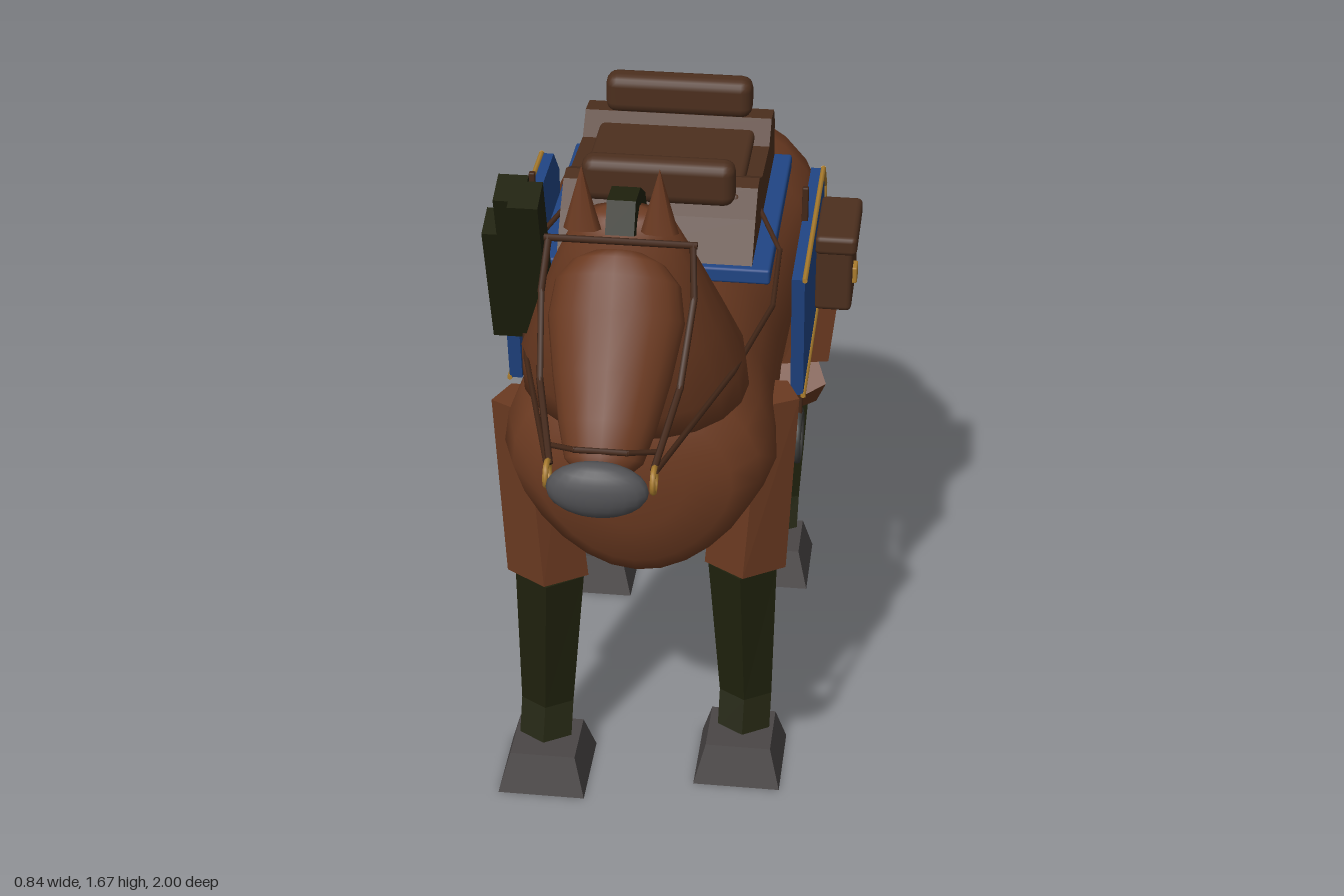
import * as THREE from 'three';
import { RoundedBoxGeometry } from 'three/addons/geometries/RoundedBoxGeometry.js';

const mat = (name, color) => new THREE.MeshStandardMaterial({ name, color });

// Skin over oval rings [x, y, z, halfWidth, halfDepth, tilt]; depth runs along (0, sin tilt, cos tilt)
function loft(rings, sides, flat = false) {
  const pos = [], idx = [];
  for (const [x, y, z, a, b, t] of rings) {
    for (let j = 0; j < sides; j++) {
      const q = Math.PI / 2 + (j / sides) * Math.PI * 2, d = b * Math.sin(q);
      pos.push(x + a * Math.cos(q), y + d * Math.sin(t), z + d * Math.cos(t));
    }
  }
  const last = rings.length - 1, c0 = pos.length / 3;
  pos.push(...rings[0].slice(0, 3), ...rings[last].slice(0, 3));
  for (let j = 0; j < sides; j++) {
    const k = (j + 1) % sides;
    for (let i = 0; i < last; i++) {
      const p = i * sides, n = p + sides;
      idx.push(p + j, p + k, n + k, p + j, n + k, n + j);
    }
    idx.push(c0, k, j, c0 + 1, last * sides + j, last * sides + k);
  }
  let g = new THREE.BufferGeometry();
  g.setAttribute('position', new THREE.Float32BufferAttribute(pos, 3));
  g.setIndex(idx);
  if (flat) g = g.toNonIndexed();
  g.computeVertexNormals();
  return g;
}

// Side profile of [z, y] points, extruded across x from x0 to x1
function sideProfile(points, x0, x1) {
  const shape = new THREE.Shape(points.map(([z, y]) => new THREE.Vector2(-z, y)));
  const g = new THREE.ExtrudeGeometry(shape, { depth: x1 - x0, bevelEnabled: false });
  return g.rotateY(Math.PI / 2).translate(x0, 0, 0);
}

// Moves every vertex by a rule, then refreshes the normals
function reshape(g, rule) {
  const p = g.attributes.position;
  for (let i = 0; i < p.count; i++) p.setXYZ(i, ...rule(p.getX(i), p.getY(i), p.getZ(i)));
  g.computeVertexNormals();
  return g;
}

export function createModel() {
  const coat = mat('chestnut coat', 0x6b3a21);
  const hair = mat('dark hair', 0x1f210d);
  const hoofGrey = mat('hoof grey', 0x4a4646);
  const muzzleGrey = mat('muzzle grey', 0x525255);
  const leather = mat('saddle leather', 0x4c2f1e);
  const strap = mat('strap leather', 0x432718);
  const blue = mat('blue cloth', 0x204584);
  const gold = mat('gold trim', 0xab7d2e);
  const iron = mat('stirrup iron', 0x3c3c3a);

  const horse = new THREE.Group();
  horse.name = 'horse';
  const add = (name, geo, material, x = 0, y = 0, z = 0) => {
    const m = new THREE.Mesh(geo, material);
    m.name = name;
    m.position.set(x, y, z);
    horse.add(m);
    return m;
  };
  const box = (name, m, w, h, d, x, y, z, r = 0.012) =>
    add(name, new RoundedBoxGeometry(w, h, d, 2, r), m, x, y, z);
  // Round strips joining a list of points
  const strips = (name, points, r, material) => {
    for (let i = 0; i + 1 < points.length; i++) {
      const a = new THREE.Vector3(...points[i]), b = new THREE.Vector3(...points[i + 1]);
      const m = add(name, new THREE.CylinderGeometry(r, r, a.distanceTo(b) + r, 6), material);
      m.position.copy(a).lerp(b, 0.5);
      m.quaternion.setFromUnitVectors(new THREE.Vector3(0, 1, 0), b.sub(a).normalize());
    }
  };

  // Barrel: [z, top, bottom, half width], rump to chest, narrowing under the chest
  const barrel = [
    [-0.79, 1.08, 0.75, 0.2], [-0.77, 1.13, 0.71, 0.25], [-0.73, 1.18, 0.69, 0.288],
    [-0.66, 1.23, 0.685, 0.31], [-0.57, 1.25, 0.685, 0.32], [-0.46, 1.22, 0.675, 0.31],
    [-0.3, 1.18, 0.665, 0.28], [0, 1.18, 0.635, 0.27], [0.2, 1.185, 0.615, 0.275],
    [0.34, 1.16, 0.605, 0.29], [0.41, 1.11, 0.62, 0.265], [0.45, 1.05, 0.67, 0.21], [0.475, 0.97, 0.77, 0.11],
  ];
  const barrelSkin = loft(barrel.map(([z, t, b, a]) => [0, (t + b) / 2, z, a, (t - b) / 2, Math.PI / 2]), 24);
  add('body', reshape(barrelSkin, (x, y, z) => {
    const front = THREE.MathUtils.clamp((z + 0.5) / 0.5, 0, 1);
    return [x * (1 - 0.85 * front * Math.max(0, 0.88 - y)), y, z];
  }), coat);

  // Neck: [y, z, half width, half depth]
  const neck = [
    [1.06, 0.4, 0.19, 0.12], [1.1, 0.41, 0.235, 0.155], [1.18, 0.44, 0.23, 0.17],
    [1.3, 0.49, 0.19, 0.14], [1.43, 0.54, 0.145, 0.095], [1.53, 0.56, 0.1, 0.055], [1.555, 0.565, 0.05, 0.025],
  ];
  add('neck', loft(neck.map(([y, z, a, b]) => [0, y, z, a, b, 2.7]), 20), coat);

  // Head, poll to nose
  const head = [
    [1.51, 0.645, 0.05, 0.035], [1.49, 0.648, 0.09, 0.06], [1.45, 0.655, 0.122, 0.08], [1.385, 0.684, 0.133, 0.089],
    [1.295, 0.752, 0.115, 0.083], [1.225, 0.815, 0.095, 0.073], [1.18, 0.868, 0.076, 0.058], [1.16, 0.89, 0.045, 0.035],
  ];
  add('head', loft(head.map(([y, z, a, b]) => [0, y, z, a, b, 0.71]), 20), coat);
  add('muzzle', new THREE.SphereGeometry(1, 20, 12).scale(0.098, 0.058, 0.04), muzzleGrey, 0, 1.175, 0.96);

  // Tail, root to tip
  const tail = [
    [1.055, -0.805, 0.08, 0.025], [1.0, -0.83, 0.107, 0.055], [0.87, -0.868, 0.125, 0.074], [0.67, -0.902, 0.13, 0.085],
    [0.5, -0.91, 0.125, 0.09], [0.36, -0.888, 0.107, 0.08], [0.28, -0.868, 0.075, 0.052], [0.25, -0.872, 0.035, 0.022],
  ];
  add('tail', loft(tail.map(([y, z, a, b], i) => [0, y, z, a, b, i < 3 ? 0.3 : 0]), 18), hair);

  // Mane crest and the locks hanging on the right side
  add('maneCrest', sideProfile([[0.63, 1.54], [0.6, 1.6], [0.53, 1.595], [0.46, 1.55], [0.38, 1.42],
    [0.31, 1.29], [0.31, 1.22], [0.42, 1.34], [0.54, 1.5]], -0.028, 0.028), hair);
  for (const [x, y, z, len] of [[-0.197, 1.4, 0.485, 0.36], [-0.235, 1.375, 0.425, 0.38], [-0.272, 1.305, 0.375, 0.3]])
    add('maneLock', new THREE.BoxGeometry(0.06, len, 0.075), hair, x, y, z).rotation.x = 0.32;

  // Saddle: pad, skirt, seat and two rolls
  box('saddlePad', blue, 0.5, 0.035, 0.57, 0, 1.19, -0.165, 0.006);
  add('saddleSkirt', sideProfile([[0.11, 1.2], [0.04, 1.285], [-0.01, 1.335], [-0.05, 1.34], [-0.12, 1.31],
    [-0.29, 1.3], [-0.34, 1.345], [-0.4, 1.34], [-0.43, 1.3], [-0.44, 1.2]], -0.21, 0.21), leather);
  box('saddleSeat', leather, 0.35, 0.03, 0.36, 0, 1.31, -0.17);
  box('pommel', leather, 0.33, 0.1, 0.06, 0, 1.36, 0.02, 0.025);
  box('cantle', leather, 0.33, 0.09, 0.065, 0, 1.385, -0.363, 0.025);

  // Brow strap across the head and nose strap
  strips('browBand', [[-0.145, 1.52, 0.615], [0.145, 1.52, 0.615]], 0.007, strap);
  strips('noseBand', [[-0.1, 1.21, 0.87], [-0.05, 1.225, 0.905], [0.05, 1.225, 0.905], [0.1, 1.21, 0.87]], 0.006, strap);

  const panel = [[0.13, 1.195], [0.075, 0.88], [-0.475, 0.88], [-0.49, 1.115], [-0.41, 1.195]];
  for (const s of [1, -1]) {
    // Ears
    add('ear', new THREE.ConeGeometry(0.037, 0.135, 8).scale(1, 1, 0.45), coat, s * 0.075, 1.607, 0.607);

    // Legs are staggered: the right pair stands ahead of the left pair
    const step = s * -0.042;
    const leg = (name, material, rings) =>
      add(name, loft(rings.map(([x, y, z, a, b, t]) => [s * x, y, z + step, a, b, t]), 5, true), material);

    // Front leg
    leg('frontUpperLeg', coat, [[0.245, 0.95, 0.23, 0.085, 0.065, 0], [0.215, 0.505, 0.21, 0.095, 0.085, 0]]);
    leg('frontLowerLeg', hair, [[0.21, 0.505, 0.22, 0.08, 0.078, 0], [0.222, 0.16, 0.225, 0.062, 0.053, 0],
      [0.222, 0.08, 0.268, 0.062, 0.053, 0]]);

    // Hind leg
    leg('thigh', coat, [[0.275, 0.97, -0.585, 0.115, 0.152, 0.38], [0.245, 0.65, -0.445, 0.11, 0.122, 0.38]]);
    leg('hindShank', coat, [[0.25, 0.615, -0.435, 0.1, 0.083, -0.9], [0.22, 0.425, -0.662, 0.095, 0.066, -0.9]]);
    leg('hindLowerLeg', hair, [[0.215, 0.425, -0.66, 0.08, 0.06, 0.15], [0.218, 0.155, -0.612, 0.062, 0.05, 0.1],
      [0.218, 0.08, -0.56, 0.062, 0.05, 0]]);

    // Hooves: tapered blocks
    for (const z of [0.29, -0.512]) {
      const block = new THREE.BoxGeometry(0.195, 0.09, 0.203);
      add('hoof', reshape(block, (x, y, d) => (y > 0 ? [x * 0.75, y, d * 0.7] : [x, y, d])),
        hoofGrey, s * 0.217, 0.045, z + step);
    }

    // Blanket side panel with gold edging
    add('blanketPanel', sideProfile(panel, s > 0 ? 0.297 : -0.325, s > 0 ? 0.325 : -0.297), blue);
    strips('blanketTrim', [...panel.slice(1), panel[0]].map(([z, y]) => [s * 0.325, y, z]), 0.006, gold);

    // Saddlebag
    box('saddlebag', leather, 0.085, 0.165, 0.195, s * 0.365, 1.0, -0.34);
    box('saddlebagFlap', leather, 0.095, 0.045, 0.215, s * 0.37, 1.098, -0.318);
    box('saddlebagClasp', gold, 0.02, 0.04, 0.04, s * 0.408, 1.005, -0.275, 0.004);

    // Stirrup
    box('stirrupStrap', strap, 0.014, 0.58, 0.014, s * 0.303, 0.985, -0.15, 0.003);
    add('stirrup', new THREE.TorusGeometry(0.057, 0.009, 8, 24).rotateY(Math.PI / 2), iron, s * 0.303, 0.638, -0.15);

    // Bridle and reins
    strips('cheekStrap', [[s * 0.14, 1.52, 0.615], [s * 0.148, 1.43, 0.665], [s * 0.135, 1.3, 0.78], [s * 0.1, 1.19, 0.9]], 0.007, strap);
    add('bitRing', new THREE.TorusGeometry(0.024, 0.006, 6, 16).rotateY(Math.PI / 2), gold, s * 0.102, 1.175, 0.915);
    strips('rein', [[s * 0.105, 1.19, 0.905], [s * 0.21, 1.178, 0.5], [s * 0.265, 1.18, 0.22],
      [s * 0.262, 1.205, 0.02], [s * 0.21, 1.235, -0.1]], 0.006, strap);
  }
  return horse;
}
